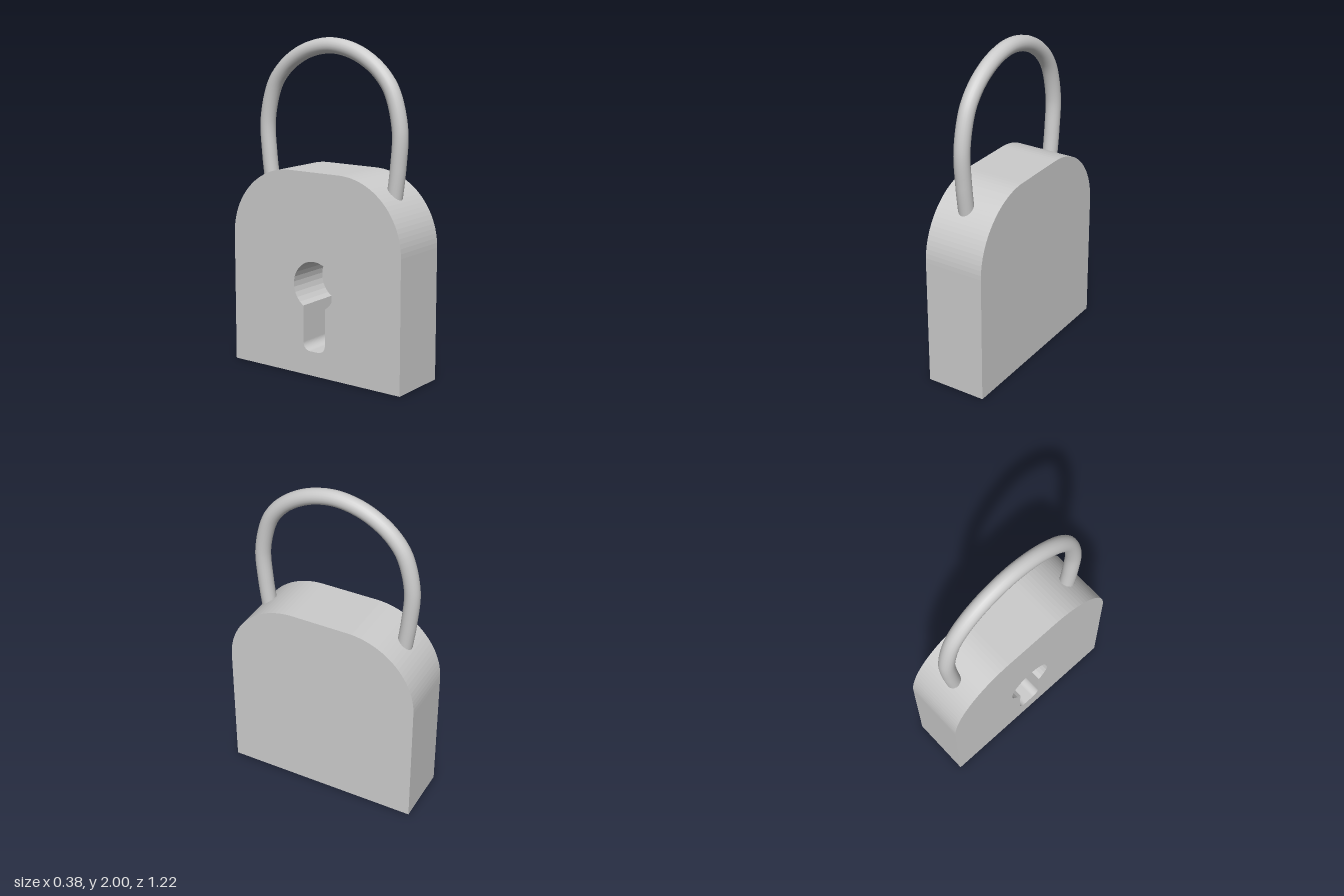
import * as THREE from 'three';

const HALF = 0.61, HEIGHT = 1.23, CORNER = 0.43, THICK = 0.38, POCKET = 0.28;

// Body outline: square base, large rounded upper corners
function bodyShape() {
  const s = new THREE.Shape();
  s.moveTo(-HALF, 0);
  s.lineTo(HALF, 0);
  s.lineTo(HALF, HEIGHT - CORNER);
  s.absarc(HALF - CORNER, HEIGHT - CORNER, CORNER, 0, Math.PI / 2);
  s.absarc(CORNER - HALF, HEIGHT - CORNER, CORNER, Math.PI / 2, Math.PI);
  s.closePath();
  return s;
}

// Keyhole outline: round top and a slot with softened lower corners
function keyholeShape() {
  const r = 0.15, w = 0.08, cy = 0.55, bottom = 0.15, c = 0.05;
  const a = Math.asin(w / r);
  const s = new THREE.Shape();
  s.moveTo(c - w, bottom);
  s.lineTo(w - c, bottom);
  s.absarc(w - c, bottom + c, c, -Math.PI / 2, 0);
  s.absarc(0, cy, r, a - Math.PI / 2, 1.5 * Math.PI - a);
  s.absarc(c - w, bottom + c, c, Math.PI, 1.5 * Math.PI);
  return s;
}

// Side walls only of an extruded outline
function walls(shape, depth) {
  const full = new THREE.ExtrudeGeometry(shape, { depth, bevelEnabled: false, curveSegments: 12 });
  const { start, count } = full.groups[1];
  const geo = new THREE.BufferGeometry();
  const pos = full.attributes.position.array.slice(start * 3, (start + count) * 3);
  geo.setAttribute('position', new THREE.BufferAttribute(pos, 3));
  geo.computeVertexNormals();
  return geo;
}

export function createModel() {
  const model = new THREE.Group();
  model.name = 'padlock';
  const lock = new THREE.Group();
  lock.name = 'lock';
  lock.rotation.y = -Math.PI / 2; // keyhole face turns towards -x
  model.add(lock);

  const flat = new THREE.MeshStandardMaterial({ color: 0xcccccc, flatShading: true });
  const inner = new THREE.MeshStandardMaterial({ color: 0xcccccc, flatShading: true, side: THREE.DoubleSide });
  const smooth = new THREE.MeshStandardMaterial({ color: 0xcccccc });
  const add = (name, geo, mat, z = 0) => {
    const mesh = new THREE.Mesh(geo, mat);
    mesh.name = name;
    mesh.position.z = z;
    lock.add(mesh);
    return mesh;
  };

  // Body shell
  const pierced = bodyShape();
  pierced.holes.push(keyholeShape());
  add('bodySides', walls(bodyShape(), THICK), flat, -THICK / 2);
  add('keyholeFace', new THREE.ShapeGeometry(pierced, 12), flat, THICK / 2);
  add('plainFace', new THREE.ShapeGeometry(bodyShape(), 12), flat, -THICK / 2).rotation.y = Math.PI;

  // Keyhole pocket
  add('keyholeWalls', walls(keyholeShape(), POCKET), inner, THICK / 2 - POCKET);
  add('keyholeFloor', new THREE.ShapeGeometry(keyholeShape(), 12), flat, THICK / 2 - POCKET);

  // Shackle: half path mirrored, ends buried in the body
  const half = [[0.432, 1.0], [0.45, 1.12], [0.47, 1.28], [0.48, 1.49], [0.43, 1.695],
    [0.367, 1.79], [0.275, 1.868], [0.15, 1.928]];
  const path = [...half, [0, 1.953], ...half.map(([x, y]) => [-x, y]).reverse()];
  const curve = new THREE.CatmullRomCurve3(path.map(([x, y]) => new THREE.Vector3(x, y, 0)));
  add('shackle', new THREE.TubeGeometry(curve, 80, 0.047, 20), smooth, 0.015);

  return model;
}
